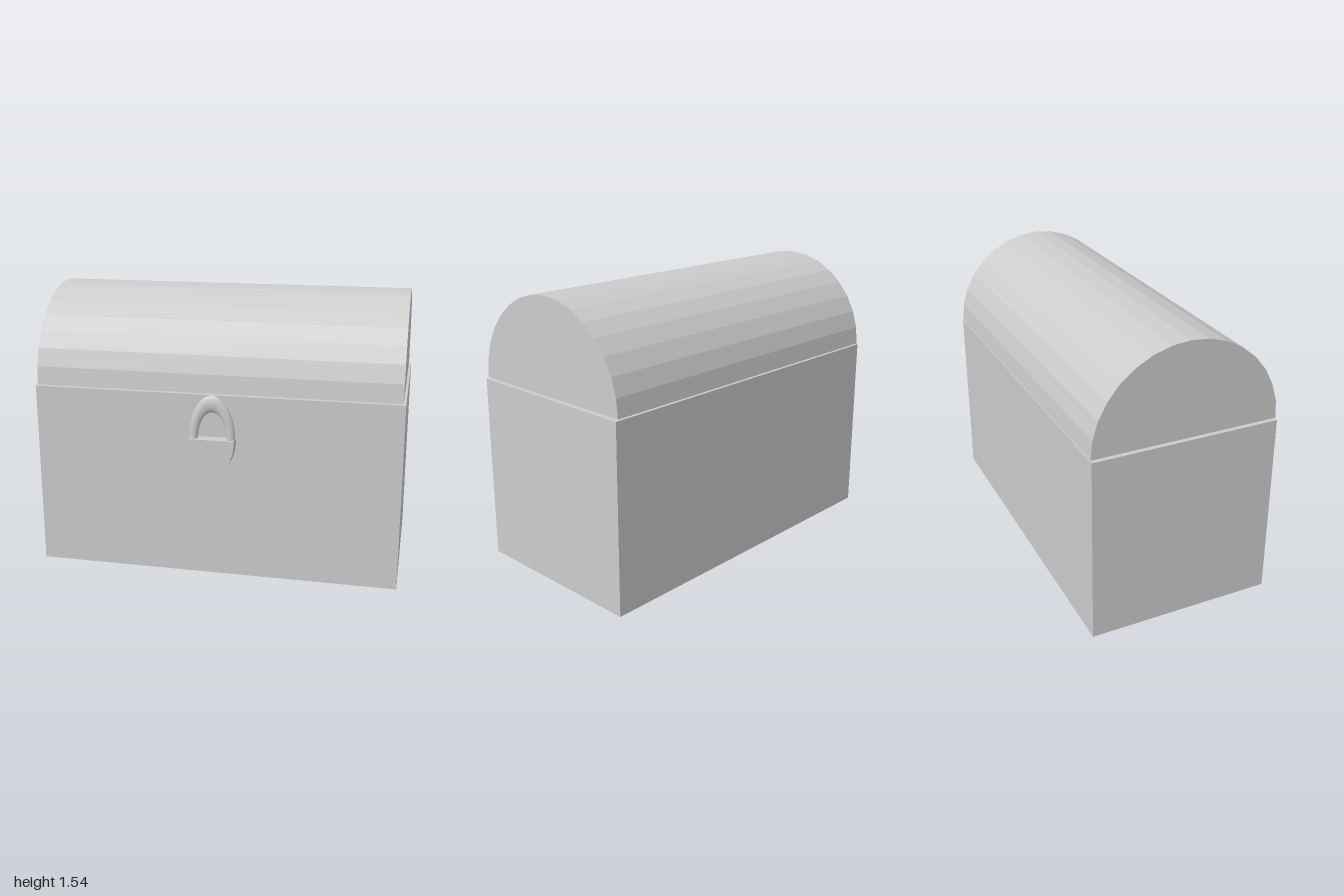
import * as THREE from 'three';

const grey = new THREE.MeshStandardMaterial({ color: 0xcccccc });
const faceted = new THREE.MeshStandardMaterial({ color: 0xcccccc, flatShading: true });

function addPart(group, name, geometry, material, x, y, z) {
  const mesh = new THREE.Mesh(geometry, material);
  mesh.name = name;
  mesh.position.set(x, y, z);
  group.add(mesh);
  return mesh;
}

// Solid half disc in the xy plane, extruded along +z
function halfDisc(radius, start, depth, segments) {
  const shape = new THREE.Shape();
  for (let i = 0; i <= segments; i++) {
    const a = start + (Math.PI * i) / segments;
    const x = radius * Math.cos(a), y = radius * Math.sin(a);
    if (i === 0) shape.moveTo(x, y);
    else shape.lineTo(x, y);
  }
  shape.closePath();
  return new THREE.ExtrudeGeometry(shape, { depth, bevelEnabled: false });
}

export function createModel() {
  const chest = new THREE.Group();
  chest.name = 'chest';
  const midZ = -0.03;

  // Body
  addPart(chest, 'body', new THREE.BoxGeometry(2, 1.02, 1.02), grey, 0, 0.51, midZ);

  // Barrel lid, lying along x with a thin gap above the body
  const lidShape = halfDisc(0.51, 0, 1.975, 16);
  lidShape.rotateY(Math.PI / 2);
  addPart(chest, 'lid', lidShape, faceted, -0.988, 1.028, midZ);

  // Padlock: half-oval case and arched shackle
  const padlock = new THREE.Group();
  padlock.name = 'padlock';
  chest.add(padlock);

  const lockCase = halfDisc(0.124, Math.PI, 0.065, 16);
  lockCase.scale(1, 1.59, 1);
  addPart(padlock, 'lockCase', lockCase, faceted, 0, 0.79, 0.48);

  const shackle = new THREE.TorusGeometry(0.101, 0.024, 12, 24, Math.PI);
  shackle.scale(1, 1.91, 0.8);
  addPart(padlock, 'shackle', shackle, grey, 0, 0.789, 0.511);

  return chest;
}
